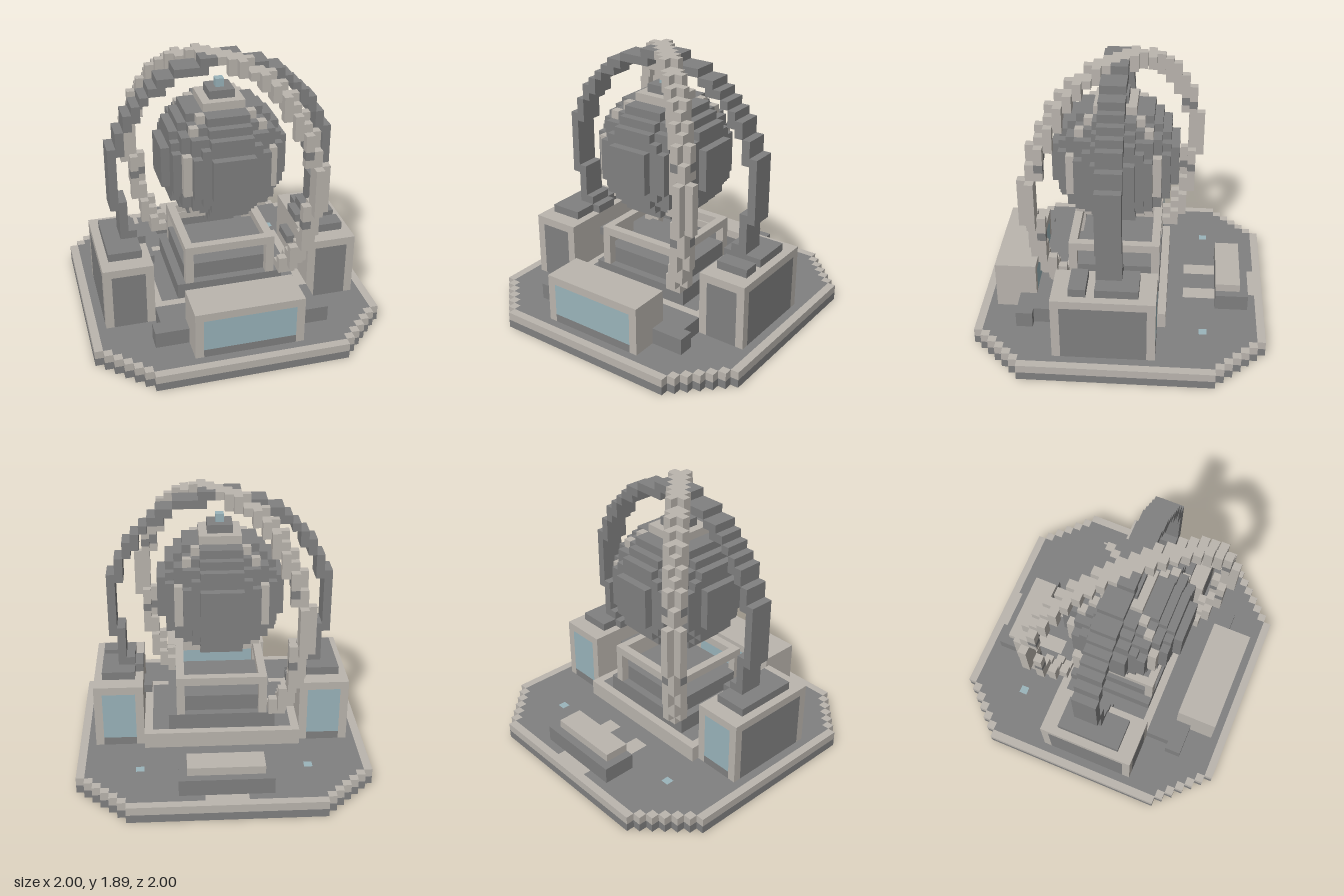
import * as THREE from 'three';

const V = 2 / 35; // edge of one cube

// Six faces of a cube: outward direction and two in-plane axes (u x v = direction)
const FACES = [
  [[1, 0, 0], [0, 1, 0], [0, 0, 1]], [[-1, 0, 0], [0, 0, 1], [0, 1, 0]],
  [[0, 1, 0], [0, 0, 1], [1, 0, 0]], [[0, -1, 0], [1, 0, 0], [0, 0, 1]],
  [[0, 0, 1], [1, 0, 0], [0, 1, 0]], [[0, 0, -1], [0, 1, 0], [1, 0, 0]],
];

export function createModel() {
  const materials = {};
  for (const [name, color] of [['dark', 0x808080], ['light', 0xbab5ae], ['blue', 0x9ab4bb]]) {
    materials[name] = new THREE.MeshStandardMaterial({ color });
    materials[name].name = { dark: 'dark grey', light: 'warm light grey', blue: 'pale blue' }[name];
  }

  const cells = new Map();
  const key = (x, y, z) => `${x},${y},${z}`;
  const put = (part, color, x, y, z) => cells.set(key(x, y, z), { part, color, x, y, z });
  // Inclusive block of cubes; color is a name or a rule returning a name or null
  const block = (part, color, x0, x1, y0, y1, z0, z1) => {
    for (let x = x0; x <= x1; x++)
      for (let y = y0; y <= y1; y++)
        for (let z = z0; z <= z1; z++) {
          const c = typeof color === 'function' ? color(x, y, z) : color;
          if (c) put(part, c, x, y, z);
        }
  };

  // Eight-sided floor with a light rim and dark inlay
  block('base', (x, y, z) => {
    const ax = Math.abs(x), az = Math.abs(z);
    if (ax + az > 28) return null;
    if (y === 0) return 'dark';
    return ax <= 16 && az <= 16 && ax + az <= 27 ? 'dark' : 'light';
  }, -17, 17, 0, 1, -17, 17);
  block('base', 'light', -2, 2, 1, 1, -16, -16);
  for (const s of [-1, 1]) {
    for (const x of [2, 3]) block('floorStripe', 'light', s * x, s * x, 1, 1, -11, -8);
    put('floorLamp', 'blue', s * 10, 1, -10);
  }

  // Low step at the back
  block('backStep', 'dark', -5, 5, 2, 3, -15, -12);
  block('backStep', 'light', -4, 4, 4, 4, -14, -12);

  // Stepped platform below the globe
  block('platform', (x, y, z) =>
    (y === 3 && Math.abs(x) < 9 && z > -5 && z < 7 ? 'dark' : 'light'), -9, 9, 2, 3, -5, 7);
  block('frontStep', 'dark', -9, 9, 2, 3, 8, 10);
  block('frontStep', 'dark', -10, 10, 2, 3, 11, 12);
  block('plinth', 'dark', -6, 6, 4, 5, -4, 6);
  block('plinth', 'dark', -5, 5, 6, 7, -3, 5);
  // Open frame on four corner posts
  block('plinthFrame', (x, y, z) => {
    const edgeX = Math.abs(x) === 5, edgeZ = z === -4 || z === 6;
    return (y === 10 ? edgeX || edgeZ : edgeX && edgeZ) ? 'light' : null;
  }, -5, 5, 6, 10, -4, 6);

  // Upright rings: u is the distance outward in the ring's plane
  const ring = (part, color, onPlane, outer) =>
    block(part, (x, y, z) => {
      const [near, u] = onPlane(x, z - 1);
      if (!near) return null;
      const dy = y - 18.9, r = u * u + (dy < 0 ? 0.75 * dy : dy) ** 2;
      if (r < 149 || r > outer) return null;
      return typeof color === 'function' ? color(r, dy) : color;
    }, -13, 13, 7, 32, -10, 12);
  ring('crossArch', 'dark', (x, dz) => [Math.abs(dz) <= 1, x], 180);
  ring('diagonalArch', (r, dy) => (r < 162 && Math.abs(Math.abs(dy) - 5) < 1 ? 'dark' : 'light'),
    (x, dz) => [Math.abs(x - dz) <= 1, (x + dz) / Math.SQRT2], 188);

  // Pedestals with a dark front and outer panel and a blue back panel
  for (const s of [-1, 1]) {
    block('pedestal', (x, y, z) => {
      const ax = Math.abs(x), inFace = ax >= 11 && ax <= 14 && y <= 8;
      if (inFace && z === 7) return 'dark';
      if (inFace && z === -4) return y === 2 ? 'dark' : 'blue';
      if (ax === 15 && y <= 8 && z >= -3 && z <= 6) return 'dark';
      return 'light';
    }, s > 0 ? 10 : -15, s > 0 ? 15 : -10, 2, 9, -4, 7);
    block('pedestalCap', (x, y, z) => (s > 0 && z === 3 ? null : 'dark'),
      s > 0 ? 11 : -14, s > 0 ? 14 : -11, 10, 10, -2, 5);
    block('archFoot', 'dark', s > 0 ? 10 : -13, s > 0 ? 13 : -10, 10, 10, 0, 2);
  }

  // Console with a screen on its front and back
  block('console', (x, y, z) => {
    if (Math.abs(x) <= 5 && y <= 6 && (z === 15 || z === 11)) return y === 2 ? 'dark' : 'blue';
    return 'light';
  }, -6, 6, 2, 7, 11, 15);

  // Floating globe with light diagonal seams and cap
  block('globe', (x, y, z) => {
    const dy = y - 20, dz = z - 1;
    if (x * x + dy * dy + dz * dz > 57) return null;
    return Math.abs(x) === Math.abs(dz) && dy > -7 || dy === 7 ? 'light' : 'dark';
  }, -7, 7, 13, 27, -6, 8);
  block('globeTop', 'dark', -1, 1, 28, 28, 0, 2);
  put('globeLamp', 'blue', 0, 29, 1);

  // Gather the exposed cube faces by part and colour
  const buckets = new Map();
  for (const c of cells.values()) {
    const id = `${c.part}|${c.color}`;
    if (!buckets.has(id)) buckets.set(id, { pos: [], nor: [], idx: [] });
    const b = buckets.get(id);
    for (const [n, u, v] of FACES) {
      if (cells.has(key(c.x + n[0], c.y + n[1], c.z + n[2]))) continue;
      const start = b.pos.length / 3, centre = [c.x, c.y + 0.5, c.z];
      for (const [p, q] of [[-1, -1], [1, -1], [1, 1], [-1, 1]]) {
        for (let i = 0; i < 3; i++) b.pos.push(V * (centre[i] + (n[i] + p * u[i] + q * v[i]) / 2));
        b.nor.push(...n);
      }
      b.idx.push(start, start + 1, start + 2, start, start + 2, start + 3);
    }
  }

  const model = new THREE.Group();
  model.name = 'globeMonument';
  const groups = {};
  for (const [id, b] of buckets) {
    if (!b.idx.length) continue;
    const [part, color] = id.split('|');
    const g = new THREE.BufferGeometry();
    g.setAttribute('position', new THREE.Float32BufferAttribute(b.pos, 3));
    g.setAttribute('normal', new THREE.Float32BufferAttribute(b.nor, 3));
    g.setIndex(b.idx);
    if (!groups[part]) {
      groups[part] = new THREE.Group();
      groups[part].name = part;
      model.add(groups[part]);
    }
    const mesh = new THREE.Mesh(g, materials[color]);
    mesh.name = `${part} ${color}`;
    groups[part].add(mesh);
  }
  return model;
}
